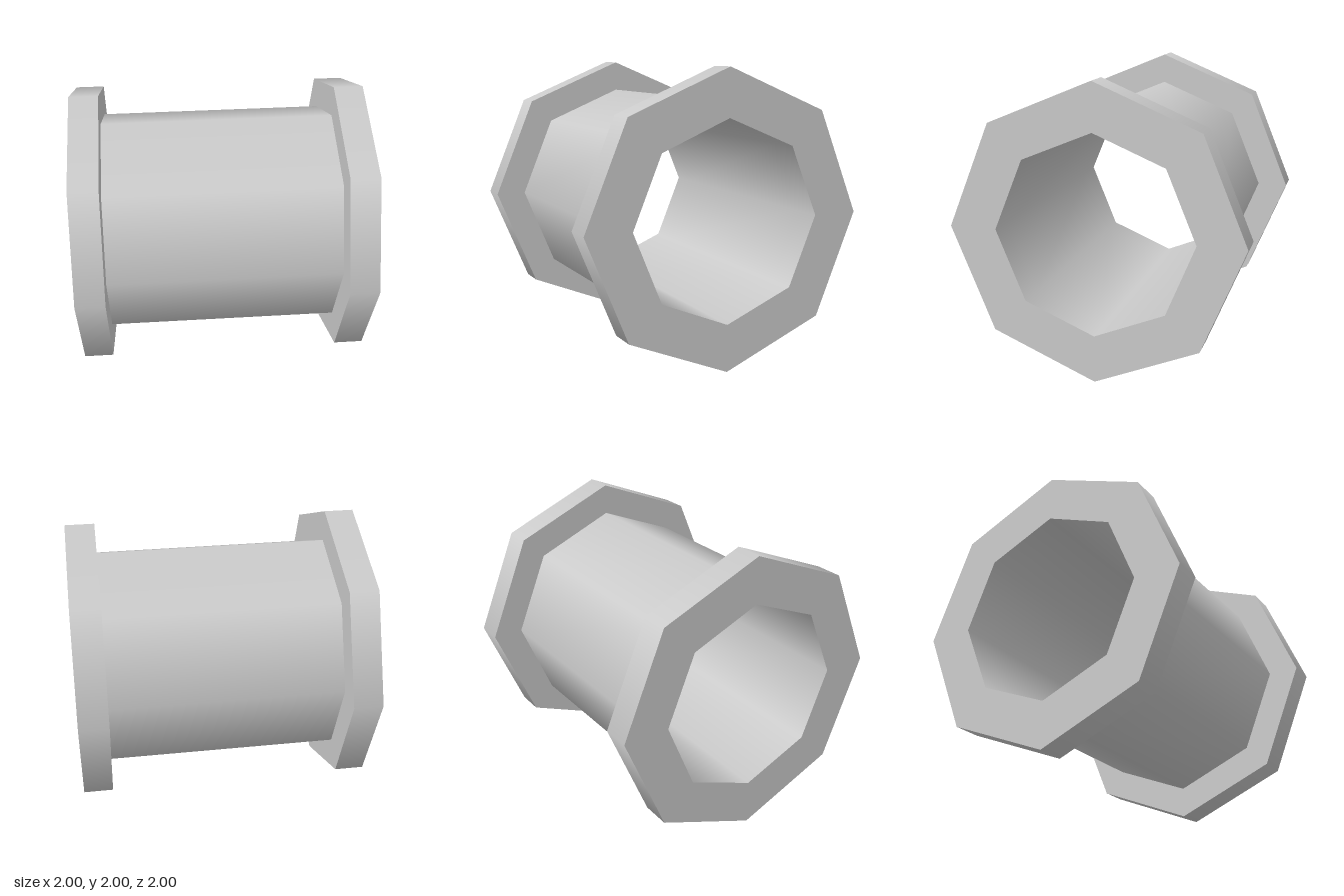
import * as THREE from 'three';
import { mergeGeometries } from 'three/addons/utils/BufferGeometryUtils.js';

const SIDES = 8;
const BORE = 0.677, BARREL = 0.783, RIM = 1;
const HALF = 1, FLANGE = 0.2;

// Each segment of the profile is its own lathe: smooth around, sharp at the corners.
// Segments are [r0, h0, r1, h1]; the axis is turned to lie along x.
function turned(segments) {
  const strips = segments.map(([r0, h0, r1, h1]) =>
    new THREE.LatheGeometry([new THREE.Vector2(r0, h0), new THREE.Vector2(r1, h1)], SIDES));
  return mergeGeometries(strips).rotateZ(-Math.PI / 2);
}

export function createModel() {
  const group = new THREE.Group();
  const material = new THREE.MeshStandardMaterial({ color: 0xcccccc });
  const add = (name, geometry, x) => {
    const mesh = new THREE.Mesh(geometry, material);
    mesh.name = name;
    mesh.position.set(x, RIM, 0);
    group.add(mesh);
  };

  // Barrel: outer wall and bore wall, closed at both ends by the flanges
  const b = HALF - FLANGE;
  add('barrel', turned([
    [BARREL, -b, BARREL, b],
    [BORE, b, BORE, -b],
  ]), 0);

  // Octagonal end flanges
  const f = FLANGE / 2;
  const flange = turned([
    [RIM, -f, RIM, f],
    [RIM, f, BORE, f],
    [BORE, f, BORE, -f],
    [BORE, -f, RIM, -f],
  ]);
  add('leftFlange', flange, HALF - f);
  add('rightFlange', flange, f - HALF);

  return group;
}
